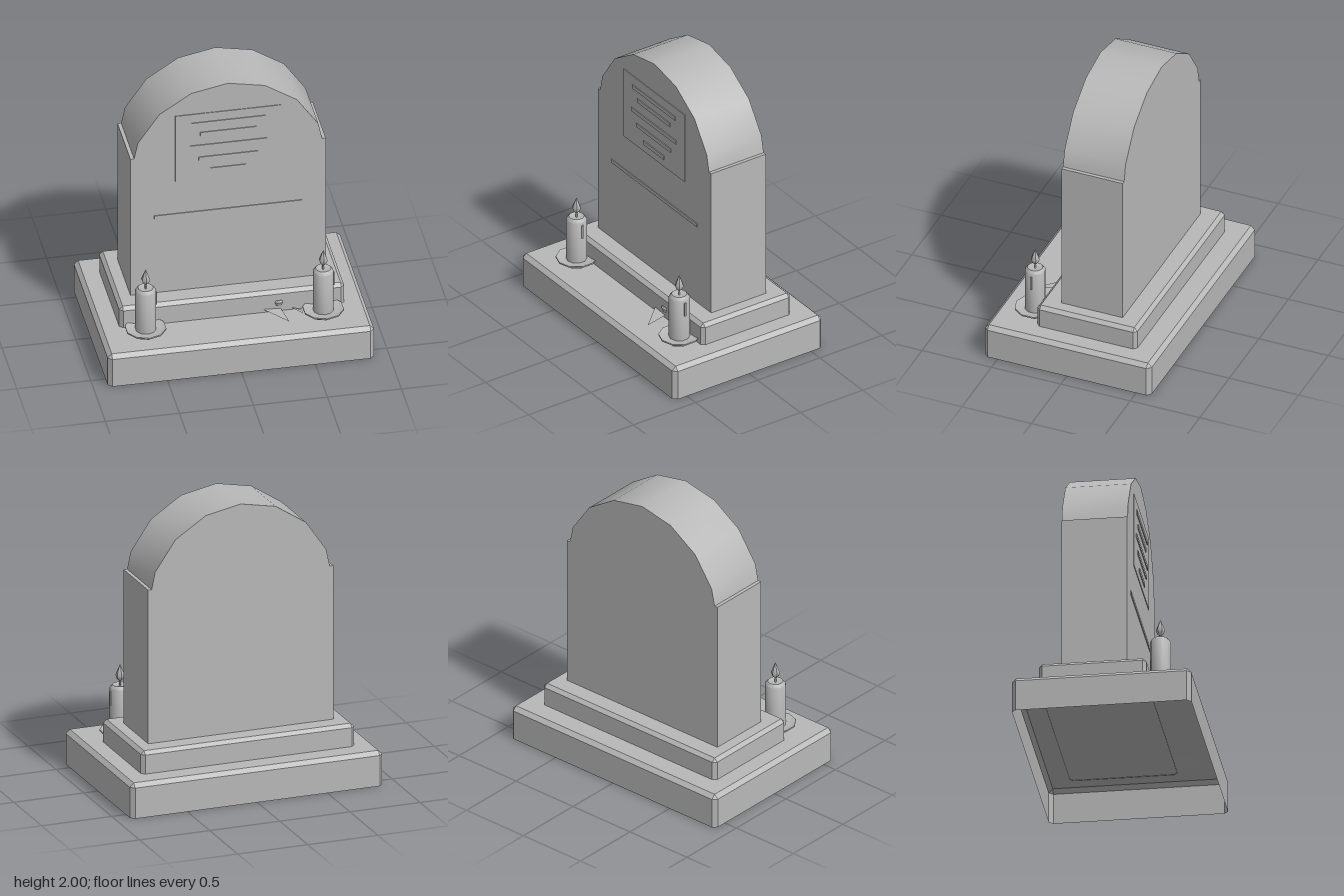
import * as THREE from 'three';
import { toCreasedNormals } from 'three/addons/utils/BufferGeometryUtils.js';

const stone = new THREE.MeshStandardMaterial({ color: 0xb8b8b8, side: THREE.DoubleSide });
stone.name = 'grey stone';

function part(parent, name, geometry, x = 0, y = 0, z = 0) {
  const mesh = new THREE.Mesh(geometry, stone);
  mesh.name = name;
  mesh.position.set(x, y, z);
  parent.add(mesh);
  return mesh;
}

// Slab open underneath, with cut corners and a bevelled top edge
function slabGeometry(hx, hz, height, c) {
  const outer = [], inner = [];
  for (const [sx, sz, swap] of [[1, 1, 0], [1, -1, 1], [-1, -1, 0], [-1, 1, 1]]) {
    const alongX = [sx * (hx - c), sz * hz], alongZ = [sx * hx, sz * (hz - c)];
    outer.push(...(swap ? [alongZ, alongX] : [alongX, alongZ]));
    inner.push([sx * (hx - c), sz * (hz - c)]);
  }
  const pos = [];
  const tri = (...pts) => pts.forEach((p) => pos.push(...p));
  const at = ([x, z], y) => [x, y, z];
  for (let i = 0; i < 8; i++) {
    const p = outer[i], q = outer[(i + 1) % 8];
    const a = at(p, 0), b = at(q, 0), d = at(p, height - c), e = at(q, height - c);
    const s = at(inner[i >> 1], height), t = at(inner[((i + 1) >> 1) % 4], height);
    tri(a, b, e);
    tri(a, e, d);
    tri(d, e, s);
    if (i % 2) tri(e, t, s);
  }
  const [p, q, r, s] = inner.map((v) => at(v, height));
  tri(p, q, r);
  tri(p, r, s);
  const g = new THREE.BufferGeometry();
  g.setAttribute('position', new THREE.Float32BufferAttribute(pos, 3));
  g.computeVertexNormals();
  return g;
}

function lathe(points, sides, crease = 0.85) {
  const g = new THREE.LatheGeometry(points.map(([r, y]) => new THREE.Vector2(r, y)), sides);
  return toCreasedNormals(g, crease);
}

// Upright slab with a faceted arch and small shoulders
function headstoneGeometry() {
  const half = [[0.66, 0.4], [0.66, 1.48], [0.635, 1.48], [0.61, 1.6], [0.465, 1.81], [0.25, 1.95]];
  const outline = [...half, [0, 2], ...half.map(([x, y]) => [-x, y]).reverse()];
  const shape = new THREE.Shape(outline.map(([x, y]) => new THREE.Vector2(x, y)));
  const g = new THREE.ExtrudeGeometry(shape, { depth: 0.44, bevelEnabled: false });
  return toCreasedNormals(g, 0.5);
}

function candle(x) {
  const g = new THREE.Group();
  g.name = 'candle';
  g.position.set(x, 0, 0.355);
  part(g, 'dish', lathe([[0, 0.243], [0.1, 0.243], [0.138, 0.27], [0.138, 0.28], [0.1, 0.268], [0, 0.268]], 10));
  part(g, 'wax', lathe([[0.07, 0.26], [0.07, 0.575], [0.052, 0.595], [0.03, 0.59], [0, 0.585]], 10));
  part(g, 'wick', new THREE.CylinderGeometry(0.007, 0.007, 0.06, 6), 0, 0.605, 0);
  part(g, 'flame', lathe([[0, 0.613], [0.022, 0.635], [0.031, 0.66], [0.018, 0.695], [0, 0.738]], 6));
  part(g, 'waxDrip', new THREE.BoxGeometry(0.012, 0.1, 0.012), 0.069, 0.505, 0);
  return g;
}

// Thin pointed leaf lying on the base
function leafGeometry(points) {
  const g = new THREE.BufferGeometry();
  g.setAttribute('position', new THREE.Float32BufferAttribute(points.flat(), 3));
  g.computeVertexNormals();
  return g;
}

export function createModel() {
  const model = new THREE.Group();
  model.name = 'gravestone';

  // Stepped foundation
  part(model, 'base', slabGeometry(0.9, 0.6, 0.243, 0.028));
  part(model, 'plinth', slabGeometry(0.76, 0.36, 0.16, 0.024), 0, 0.24, -0.08);

  // Stone with its front panel
  part(model, 'headstone', headstoneGeometry(), 0, 0, -0.3);
  part(model, 'panel', new THREE.BoxGeometry(0.715, 0.52, 0.008), 0, 1.525, 0.141);

  // Raised bars on the panel and a long one below
  const bars = [[0.5, 1.705], [0.38, 1.625], [0.52, 1.525], [0.4, 1.43], [0.24, 1.335]];
  for (const [width, y] of bars) part(model, 'panelBar', new THREE.BoxGeometry(width, 0.028, 0.008), 0, y, 0.147);
  part(model, 'lowerBar', new THREE.BoxGeometry(1, 0.025, 0.008), 0, 1, 0.142);

  for (const x of [-0.6, 0.6]) model.add(candle(x));

  // Small flower resting against the plinth
  const flower = new THREE.Group();
  flower.name = 'flower';
  model.add(flower);
  part(flower, 'bud', lathe([[0, -0.02], [0.024, -0.02], [0.035, 0.008], [0.026, 0.02], [0, 0.02]], 8), 0.315, 0.305, 0.262);
  part(flower, 'leaf', leafGeometry([[0.2, 0.268, 0.27], [0.355, 0.255, 0.44], [0.325, 0.262, 0.27]]));
  part(flower, 'leaf', leafGeometry([[0.39, 0.26, 0.27], [0.465, 0.25, 0.355], [0.465, 0.25, 0.31]]));
  return model;
}
